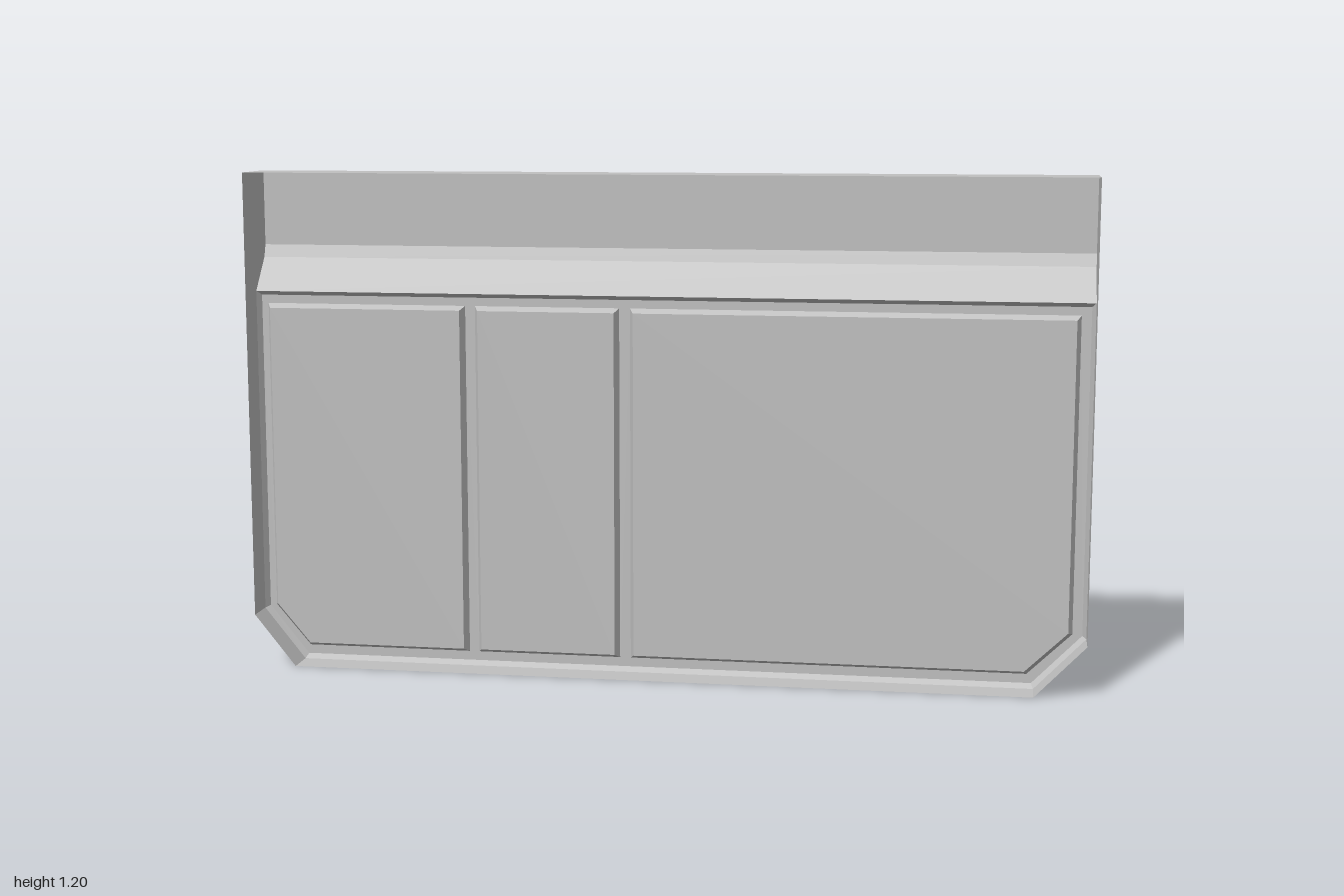
import * as THREE from 'three';

const grey = new THREE.MeshStandardMaterial({ color: 0xc0c0c0, side: THREE.DoubleSide });
grey.name = 'grey';

// Depths: open front edge, rim of the shell, back of the frame, sunk panels
const FRONT = 0.075, RIM = 0, FRAME = -0.015, PANEL = 0.005, BACK = -0.075;

const at = (points, z) => points.map(([x, y]) => [x, y, z]);
const path = (points) => points.map(([x, y]) => new THREE.Vector2(x, y));

// Flat-faced strip of quads between two matching rows of points
function strip(a, b, closed) {
  const pos = [];
  const n = closed ? a.length : a.length - 1;
  for (let i = 0; i < n; i++) {
    const j = (i + 1) % a.length;
    for (const p of [a[i], b[i], b[j], a[i], b[j], a[j]]) pos.push(...p);
  }
  const g = new THREE.BufferGeometry();
  g.setAttribute('position', new THREE.Float32BufferAttribute(pos, 3));
  g.computeVertexNormals();
  return g;
}

// Flat plate facing the back at depth z
function plate(points, z, holes = []) {
  const shape = new THREE.Shape(path(points));
  shape.holes = holes.map((h) => new THREE.Path(path(h)));
  return new THREE.ShapeGeometry(shape).translate(0, 0, z);
}

// Rectangle whose lower corners may be cut; cut = [width, height]
function outline(x0, x1, y0, y1, cutL, cutR) {
  const pts = [[x0, y1]];
  if (cutL) pts.push([x0, y0 + cutL[1]], [x0 + cutL[0], y0]);
  else pts.push([x0, y0]);
  if (cutR) pts.push([x1 - cutR[0], y0], [x1, y0 + cutR[1]]);
  else pts.push([x1, y0]);
  pts.push([x1, y1]);
  return pts;
}

export function createModel() {
  const group = new THREE.Group();
  const add = (name, geometry) => {
    const mesh = new THREE.Mesh(geometry, grey);
    mesh.name = name;
    group.add(mesh);
  };

  // Side, corner and bottom walls, open to the front
  const rim = outline(-1, 1, 0, 0.912, [0.1, 0.125], [0.12, 0.125]);
  const frame = outline(-0.991, 0.991, 0.01, 0.902, [0.096, 0.119], [0.116, 0.119]);
  add('outerWalls', strip(at(rim, RIM), at(rim, FRONT), false));
  add('frameBevel', strip(at(frame, FRAME), at(rim, RIM), true));

  // Frame with three sunk panels
  const panels = [
    ['leftmostPanel', -0.975, -0.484, [0.085, 0.1], null],
    ['middlePanel', -0.46, -0.109, null, null],
    ['widePanel', -0.083, 0.968, null, [0.104, 0.1]],
  ];
  const holes = panels.map(([, x0, x1, l, r]) => outline(x0, x1, 0.032, 0.882, l, r));
  add('frame', plate(frame, FRAME, holes));
  panels.forEach(([name, x0, x1, l, r], i) => {
    const d = 0.01;
    const inner = outline(x0 + d, x1 - d, 0.032 + d, 0.882 - d,
      l && [l[0] - 0.004, l[1] - 0.004], r && [r[0] - 0.004, r[1] - 0.004]);
    add(name + 'Edge', strip(at(holes[i], FRAME), at(inner, PANEL), true));
    add(name, plate(inner, PANEL));
  });

  // Overhanging header: sloped back, flat back and top, as [z, y]
  const profile = [[RIM, 0.912], [-0.065, 0.99], [BACK, 1.02], [BACK, 1.2], [FRONT, 1.2]];
  const side = (x) => profile.map(([z, y]) => [x, y, z]);
  add('header', strip(side(-1), side(1), false));

  // Header ends
  for (const x of [-1, 1]) {
    const end = [...profile, [FRONT, 0.912]].map(([z, y]) => [-z, y]);
    const g = plate(end, 0).rotateY(Math.PI / 2).translate(x, 0, 0);
    add(x > 0 ? 'headerLeftEnd' : 'headerRightEnd', g);
  }
  // Outward normals on the right-hand end
  const rightEnd = group.getObjectByName('headerRightEnd').geometry;
  rightEnd.index.array.reverse();
  rightEnd.computeVertexNormals();

  // Plates at the back face backwards
  for (const name of ['frame', ...panels.map((p) => p[0])]) {
    const g = group.getObjectByName(name).geometry;
    g.index.array.reverse();
    g.computeVertexNormals();
  }
  return group;
}
